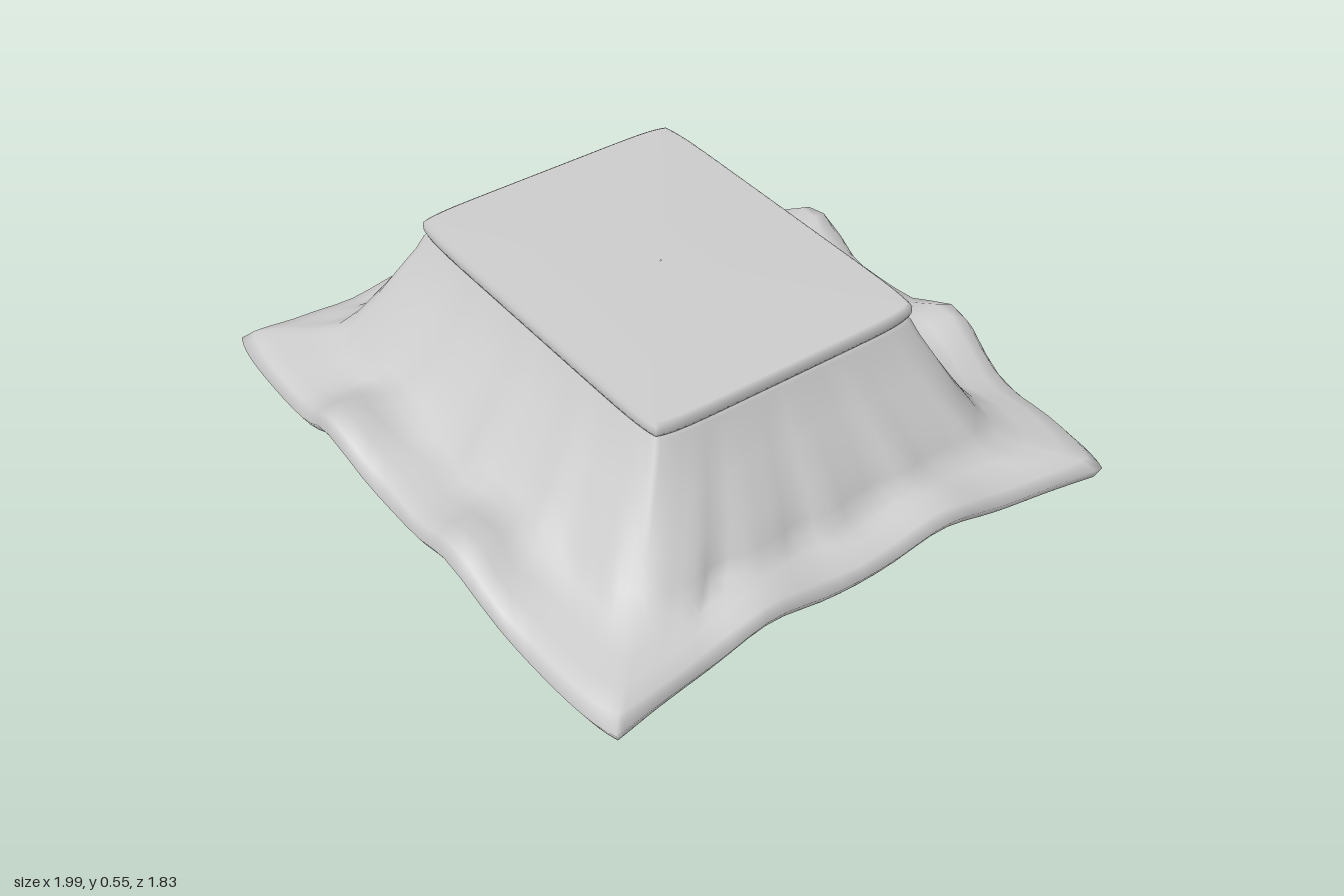
import * as THREE from 'three';

const N = 32; // segments per side

// Cross-sections from the top down: half width, height,
// fold depth (negative = padded pillows)
const QUILT_OUTSIDE = [
  [0.01, 0.515, 0], [0.575, 0.515, 0], [0.588, 0.495, 0], [0.607, 0.45, 0.001],
  [0.66, 0.36, 0.003], [0.73, 0.26, 0.006], [0.785, 0.18, 0.01], [0.825, 0.135, 0.013],
  [0.895, 0.11, 0.011], [0.965, 0.1, 0.007], [1.015, 0.084, 0.003], [1.04, 0.052, 0],
];
const QUILT_LINING = [
  [1.02, 0.018, 0], [0.965, 0.006, 0.003], [0.89, 0.03, 0.008], [0.81, 0.08, 0.006],
  [0.77, 0.13, -0.005], [0.735, 0.2, -0.03], [0.69, 0.27, -0.006],
  [0.65, 0.35, -0.028], [0.59, 0.44, -0.006], [0.565, 0.495, 0], [0.01, 0.5, 0],
];
const TABLE_TOP = [
  [0.002, 0.552, 0], [0.576, 0.55, 0], [0.587, 0.543, 0],
  [0.587, 0.518, 0], [0.582, 0.506, 0], [0.002, 0.506, 0],
];

// Lift of the hem: two ripples per side, taller on front and back
function hemLift(x, z, onFront) {
  const g = (d, w) => Math.exp(-((d / w) ** 2));
  return onFront
    ? 0.11 * g(Math.abs(x) - 0.32, 0.15) + 0.04 * g(x, 0.2)
    : 0.042 * g(Math.abs(z) - 0.3, 0.15) + 0.005 * g(z, 0.2);
}

// Soft pleats outside, padded pillows on the lining; both fade at the corners
function foldOffset(fold, t, side) {
  const wave = fold < 0
    ? Math.abs(Math.cos(t * Math.PI * 2.5))
    : Math.sin(t * 16 + side) + 0.5 * Math.sin(t * 29 + side * 2);
  return fold * (1 - t ** 6) * wave;
}

// Smooth skin over rounded rectangular rings
function loft(rings) {
  const pos = [], index = [], count = 4 * N;
  const clamp = THREE.MathUtils.clamp;
  rings.forEach(([hx, y, fold]) => {
    const w = clamp((hx - 0.76) / 0.2, 0, 1); // how much the ring follows the hem
    const hz = Math.max(hx - 0.137 - 0.018 * w, 0.002);
    const zc = -0.02 * clamp((y - 0.1) / 0.3, 0, 1);
    const round = 0.03 + 0.05 * Math.exp(-(((y - 0.2) / 0.13) ** 2));
    for (let j = 0; j < count; j++) {
      const side = Math.floor(j / N);
      const f = (j % N) / N - 0.5;
      const t = Math.sin(f * Math.PI) * 0.35 + f * 1.3;
      const [a, b] = [[t, 1], [1, -t], [-t, -1], [-1, t]][side];
      const onFront = side % 2 === 0;
      const shrink = 1 - round * Math.abs(a * b) ** 8;
      const lift = hemLift(a * hx, b * hz, onFront) * w;
      const out = foldOffset(fold, t, side);
      // side hems pull inward at the middle
      const pinch = onFront ? 0 : 0.1 * w * (1 - t ** 4);
      pos.push(
        a * (hx * shrink - pinch + (onFront ? 0 : out)),
        y + lift,
        b * (hz * shrink + (onFront ? out + lift * 0.25 : 0)) + zc,
      );
    }
  });
  for (let i = 0; i < rings.length - 1; i++) {
    for (let j = 0; j < count; j++) {
      const k = (j + 1) % count;
      const a = i * count + j, b = a + count, c = (i + 1) * count + k, d = i * count + k;
      index.push(a, b, c, a, c, d);
    }
  }
  const geo = new THREE.BufferGeometry();
  geo.setAttribute('position', new THREE.Float32BufferAttribute(pos, 3));
  geo.setIndex(index);
  geo.computeVertexNormals();
  return geo;
}

export function createModel() {
  const group = new THREE.Group();
  group.name = 'quiltedTable';
  const grey = new THREE.MeshStandardMaterial({ color: 0xcccccc });
  grey.name = 'lightGrey';

  // Draped quilt, hollow underneath
  const quilt = new THREE.Mesh(loft([...QUILT_OUTSIDE, ...QUILT_LINING]), grey);
  quilt.name = 'quilt';
  group.add(quilt);

  // Table top resting flush on the quilt
  const top = new THREE.Mesh(loft(TABLE_TOP), grey);
  top.name = 'tableTop';
  group.add(top);

  return group;
}
